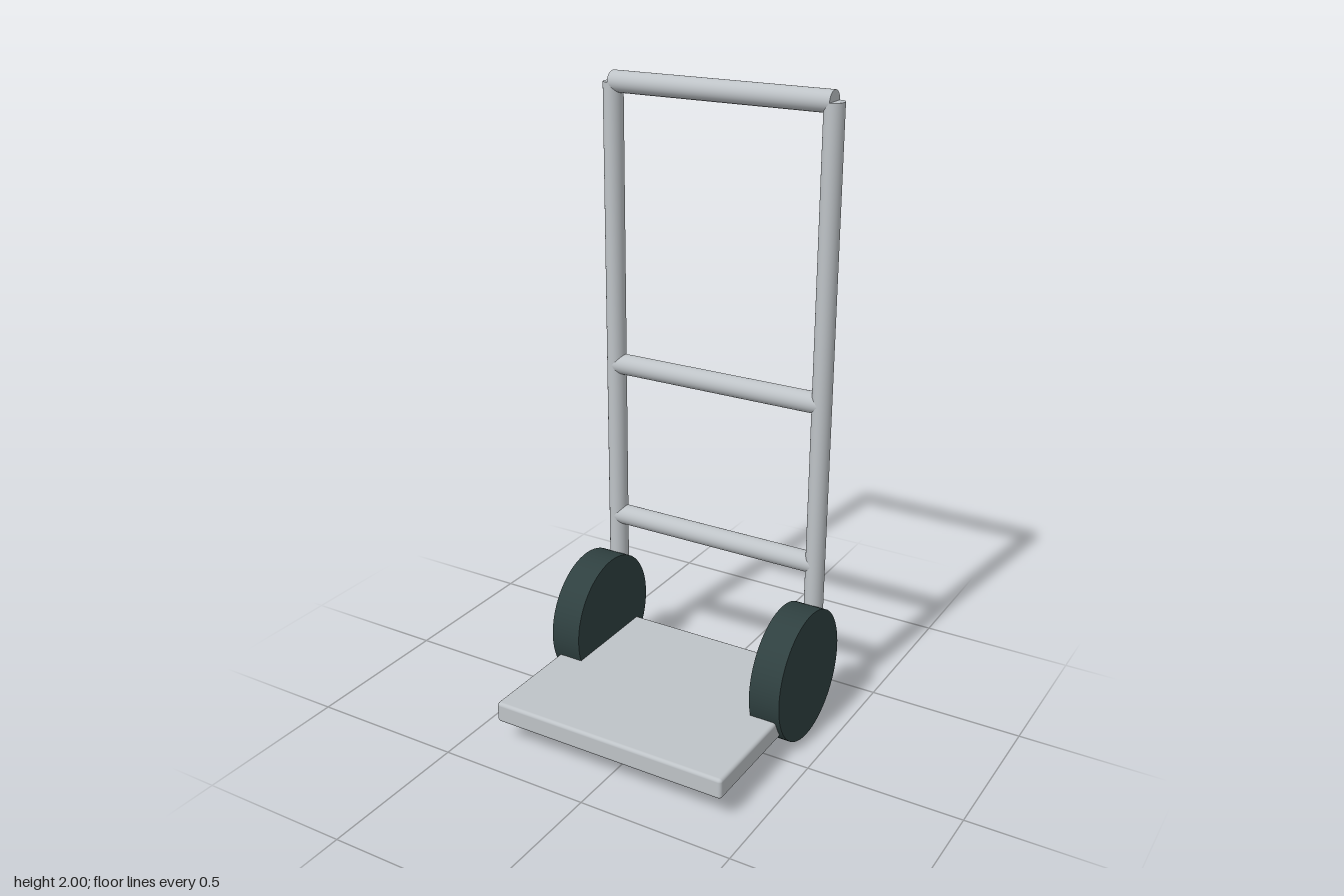
import * as THREE from 'three';
import { RoundedBoxGeometry } from 'three/addons/geometries/RoundedBoxGeometry.js';

export function createModel() {
  const model = new THREE.Group();
  model.name = 'handTruck';

  const metal = new THREE.MeshStandardMaterial({ color: 0xbec3c7 });
  metal.name = 'light grey metal';
  const rubber = new THREE.MeshStandardMaterial({ color: 0x2f4040 });
  rubber.name = 'dark rubber';

  const FRAME_Z = -0.289; // plane of the upright frame
  const POST_X = 0.364;
  const TOP_Y = 1.967;

  function add(name, geometry, material, x, y, z) {
    const mesh = new THREE.Mesh(geometry, material);
    mesh.name = name;
    mesh.position.set(x, y, z);
    model.add(mesh);
  }

  // Cylinder lying along x, with an oval section (ry by rz)
  function crossCylinder(ry, rz, length, sides) {
    return new THREE.CylinderGeometry(1, 1, length, sides).rotateZ(Math.PI / 2).scale(1, ry, rz);
  }

  // Load plate with softened edges
  add('loadPlate', new RoundedBoxGeometry(0.8, 0.068, 0.694, 3, 0.011), metal, 0, 0.11, 0.026);

  // Posts and wheels, mirrored left and right
  const postBottom = 0.11;
  const postHeight = TOP_Y - postBottom;
  for (const [side, s] of [['left', 1], ['right', -1]]) {
    const post = new THREE.CylinderGeometry(1, 1, postHeight, 32).scale(0.03, 1, 0.0345);
    add(side + 'Post', post, metal, s * POST_X, postBottom + postHeight / 2, FRAME_Z);
    add(side + 'Wheel', crossCylinder(0.2145, 0.2085, 0.102, 64), rubber, s * 0.364, 0.2145, -0.1665);
  }

  // Handle and rungs
  for (const [name, y] of [['handle', TOP_Y], ['upperRung', 1.073], ['lowerRung', 0.54]]) {
    add(name, crossCylinder(0.033, 0.0345, POST_X * 2, 32), metal, 0, y, FRAME_Z);
  }

  return model;
}
